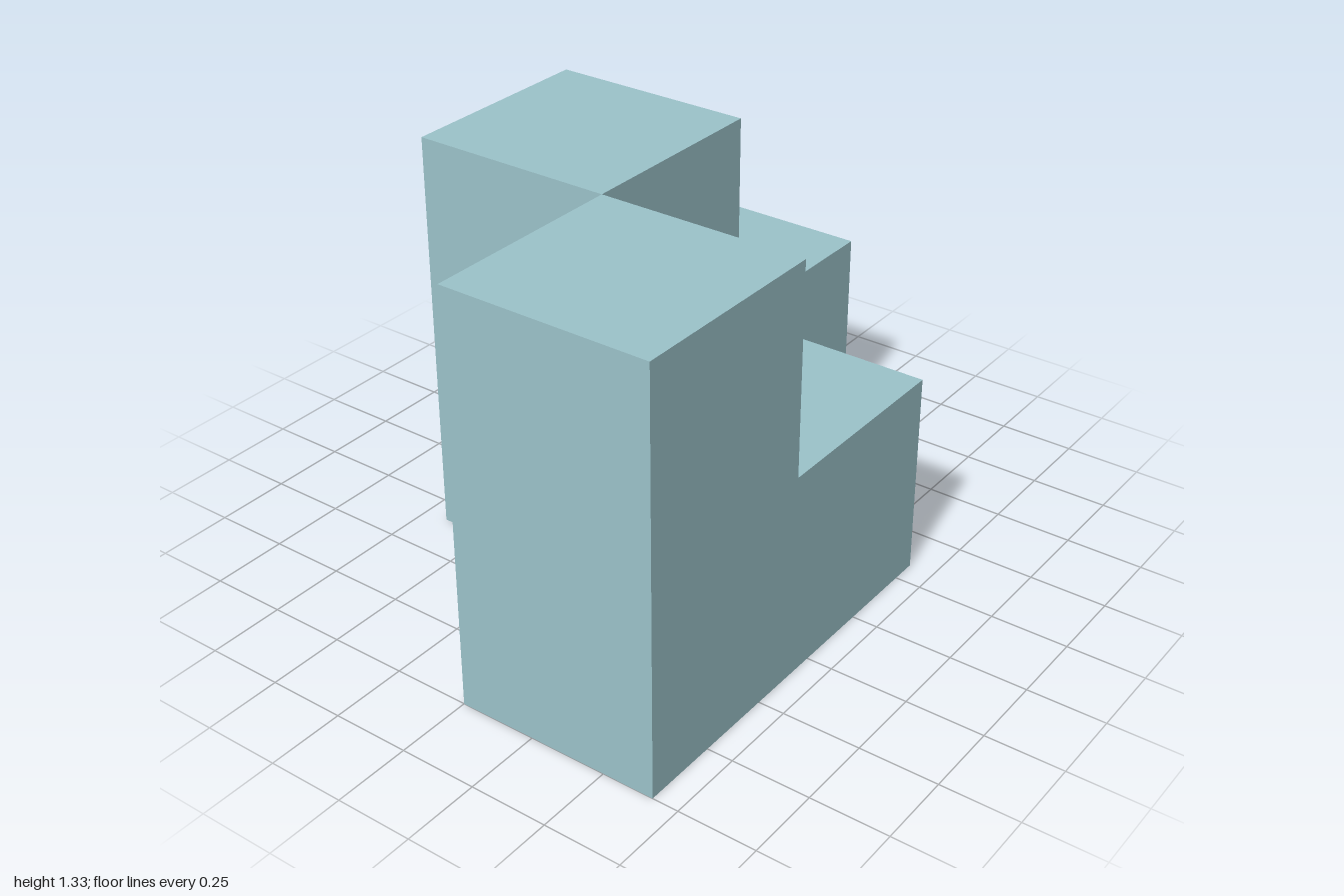
import * as THREE from 'three';

const U = 2 / 3; // edge of one cube unit

export function createModel() {
  const group = new THREE.Group();
  const paleTeal = new THREE.MeshStandardMaterial({ color: 0x9cc3ca });
  paleTeal.name = 'paleTeal';

  // L-shaped side profile: low step at the back, tall column at the front
  const profile = new THREE.Shape(
    [[-1.5, 0], [0.5, 0], [0.5, 2], [-0.5, 2], [-0.5, 1], [-1.5, 1]]
      .map(([z, y]) => new THREE.Vector2(z * U, y * U))
  );

  // one unit thick, turned so that the profile runs along z
  const stepGeometry = new THREE.ExtrudeGeometry(profile, { depth: U, bevelEnabled: false });
  stepGeometry.rotateY(-Math.PI / 2);

  // two identical blocks side by side, the left one a unit further forward
  const addBlock = (name, x, z) => {
    const mesh = new THREE.Mesh(stepGeometry, paleTeal);
    mesh.name = name;
    mesh.position.set(x, 0, z);
    group.add(mesh);
  };
  addBlock('rightStepBlock', 0, 0);
  addBlock('leftStepBlock', U, U);

  return group;
}
